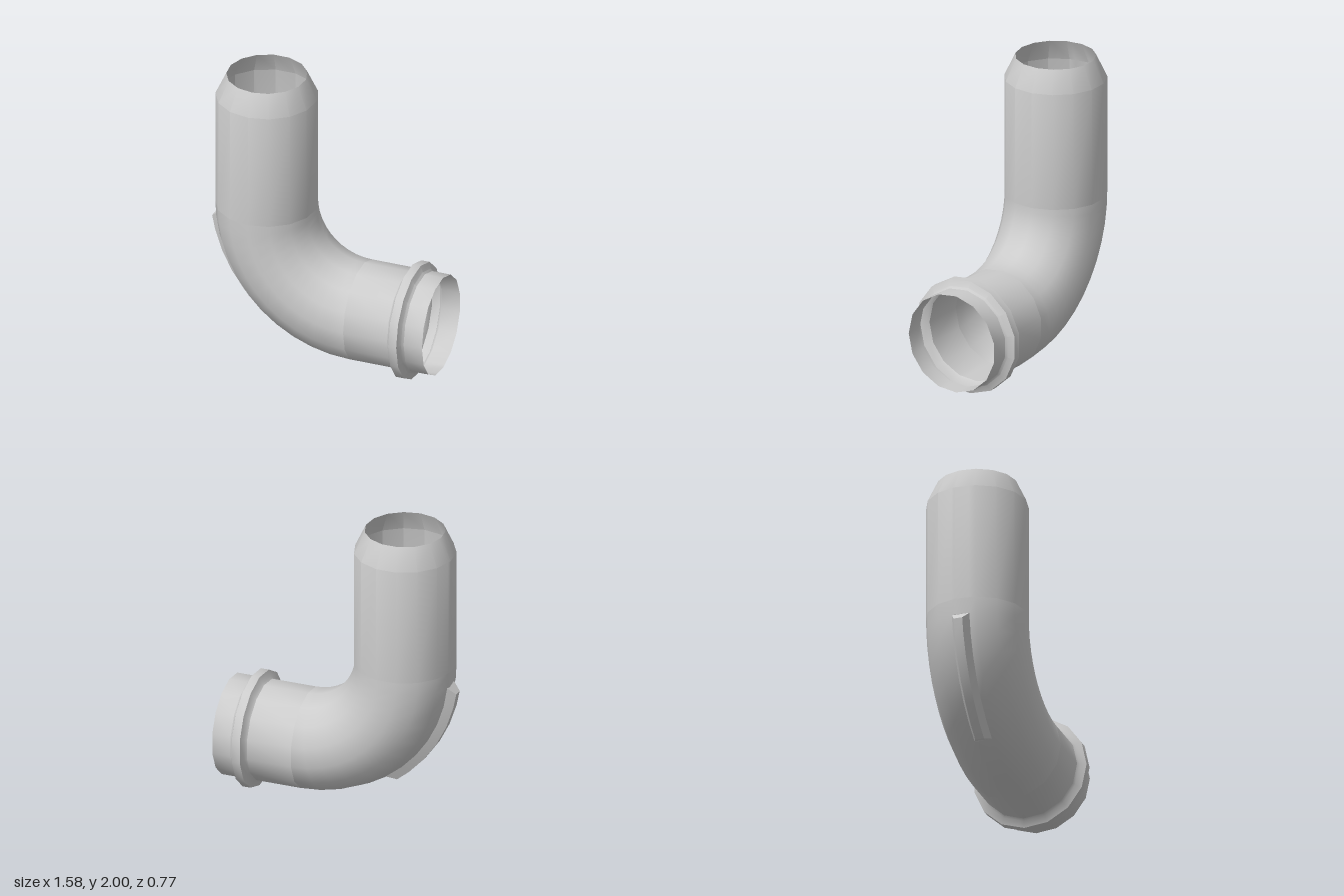
import * as THREE from 'three';
import { toCreasedNormals } from 'three/addons/utils/BufferGeometryUtils.js';

const SIDES = 15, R = 0.335, Z0 = -0.004;
const BEND = 0.665, CX = 0.24, CY = 1.053; // bend radius and centre
const RIB_HALF = 0.06, RIB_TIP = 0.03, RIB_OUTER = 1.047;
const RIB_START = 6.3, RIB_END = 56, RIB_STEPS = 6;
const material = new THREE.MeshStandardMaterial({ color: 0xcccccc, side: THREE.DoubleSide });

// Unit cross-section [z, outward], with extra points where the rib meets the wall
function crossSection() {
  const points = [];
  const corner = (k) => {
    const a = (k / SIDES) * Math.PI * 2;
    return [Math.cos(a), Math.sin(a)];
  };
  for (let k = 0; k < SIDES; k++) {
    const a = corner(k), b = corner(k + 1);
    points.push(a);
    for (const z of [RIB_HALF / R, -RIB_HALF / R]) {
      if (a[1] > 0 && a[0] > z && b[0] < z) {
        const f = (a[0] - z) / (a[0] - b[0]);
        points.push([z, a[1] + f * (b[1] - a[1])]);
      }
    }
  }
  return points;
}
const SECTION = crossSection();

// Triangles over rows of points, leaving out any cell that skip() accepts
function grid(rows, skip = () => false) {
  const out = [];
  for (let i = 0; i < rows.length - 1; i++) {
    for (let j = 0; j < rows[i].length - 1; j++) {
      if (skip(i, j)) continue;
      const a = rows[i][j], b = rows[i][j + 1], c = rows[i + 1][j + 1], d = rows[i + 1][j];
      out.push(a, b, c, a, c, d);
    }
  }
  return out;
}

function part(name, points, crease = 0.5) {
  const geometry = toCreasedNormals(new THREE.BufferGeometry().setFromPoints(points), crease);
  const mesh = new THREE.Mesh(geometry, material);
  mesh.name = name;
  return mesh;
}

// Point at a bend angle (degrees), distance from the bend centre and depth
function bendPoint(deg, r, z) {
  const a = THREE.MathUtils.degToRad(deg);
  return new THREE.Vector3(CX - r * Math.cos(a), CY - r * Math.sin(a), z + Z0);
}

// Closed ring of the pipe at a bend angle, moved along the straight runs
function ring(deg, radius, dx = 0, dy = 0) {
  const row = SECTION.map(([z, o]) => {
    const p = bendPoint(deg, BEND + o * radius, z * radius);
    p.x += dx;
    p.y += dy;
    return p;
  });
  row.push(row[0]);
  return row;
}
const upper = (y, radius) => ring(0, radius, 0, y - CY);
const lower = (x, radius) => ring(90, radius, x - CX, 0);

export function createModel() {
  const group = new THREE.Group();
  group.name = 'pipeElbow';

  // Angles of the bend, with rows on both ends of the rib
  const ribAngles = [];
  for (let i = 0; i <= RIB_STEPS; i++) {
    ribAngles.push(RIB_START + ((RIB_END - RIB_START) * i) / RIB_STEPS);
  }
  const angles = [0, ...ribAngles, 64.5, 73, 81.5, 90];

  // Chamfered upper pipe, bend and lower run; the wall is open behind the rib
  const half = RIB_HALF / R + 1e-6;
  const ribCell = (i, j) => {
    const a = SECTION[j % SECTION.length], b = SECTION[(j + 1) % SECTION.length];
    const inRows = i >= 1 && i < 1 + RIB_STEPS;
    return inRows && a[1] > 0 && Math.abs(a[0]) <= half && Math.abs(b[0]) <= half;
  };
  group.add(part('upperPipe', grid([upper(2, 0.264), upper(1.85, R), upper(CY, R)])));
  group.add(part('bend', grid(angles.map((a) => ring(a, R)), ribCell)));
  group.add(part('lowerPipe', grid([lower(CX, R), lower(0.547, R)])));

  // Hollow raised collar and the socket end after it
  const collar = [[0.547, R], [0.56, 0.348], [0.576, 0.39], [0.632, 0.39], [0.648, 0.348], [0.662, R]];
  group.add(part('collar', grid(collar.map(([x, r]) => lower(x, r)))));
  group.add(part('socketEnd', grid([lower(0.662, R), lower(0.79, R)])));

  // Tapered rib along the outside of the bend, with sloping ends
  const seat = SECTION.find(([z, o]) => o > 0 && Math.abs(z - RIB_HALF / R) < 1e-6)[1];
  const seatBack = SECTION.find(([z, o]) => o > 0 && Math.abs(z + RIB_HALF / R) < 1e-6)[1];
  const rows = ribAngles.map((a) => {
    const tip = THREE.MathUtils.clamp(a, RIB_START + 2.4, RIB_END - 2.4);
    return [
      bendPoint(a, BEND + seat * R, RIB_HALF),
      bendPoint(tip, RIB_OUTER, RIB_TIP),
      bendPoint(tip, RIB_OUTER, -RIB_TIP),
      bendPoint(a, BEND + seatBack * R, -RIB_HALF),
    ];
  });
  const first = rows[0], last = rows[rows.length - 1];
  group.add(part('rib', [
    ...grid(rows),
    ...grid([[first[3], first[2]], [first[0], first[1]]]),
    ...grid([[last[0], last[1]], [last[3], last[2]]]),
  ]));

  return group;
}
